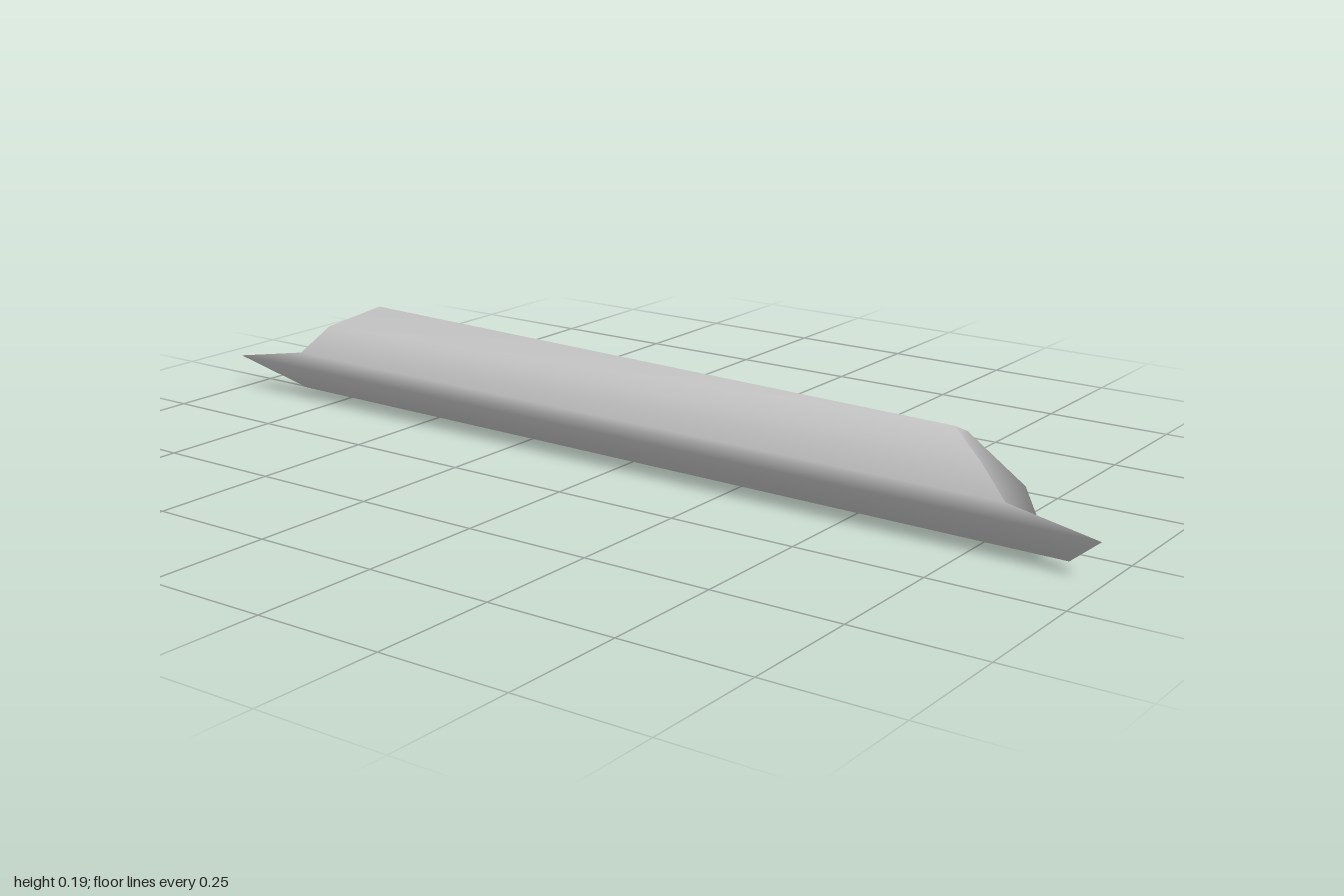
import * as THREE from 'three';

export function createModel() {
  const group = new THREE.Group();
  group.name = 'brokenLog';
  const grey = new THREE.MeshStandardMaterial({ color: 0xc4c4c4 });
  grey.name = 'weathered grey';

  // Splintered rims [x, y, z], running top, back, bottom, front
  const leftRim = [
    [0.67, 0.186, 0.01], [0.66, 0.158, -0.06], [0.77, 0.075, -0.071],
    [0.85, 0.003, 0.0], [0.85, 0.004, 0.04], [0.92, 0.012, 0.07],
    [0.995, 0.075, 0.118], [0.82, 0.105, 0.11], [0.76, 0.158, 0.085],
  ];
  const rightRim = [
    [-0.71, 0.194, -0.045], [-0.72, 0.16, -0.108], [-0.86, 0.05, -0.12],
    [-0.92, 0.002, -0.07], [-0.86, 0.001, -0.035], [-0.88, 0.003, 0.01],
    [-1.0, 0.07, 0.08], [-0.83, 0.1, 0.07], [-0.77, 0.16, 0.045],
  ];
  const n = leftRim.length;

  // Sunken middles of the two broken ends
  const leftMiddle = [0.74, 0.085, 0.035];
  const rightMiddle = [-0.78, 0.085, -0.01];

  // Long sides and fanned ends share vertices so the shading runs smoothly over the rims
  const positions = [...rightRim, ...leftRim, rightMiddle, leftMiddle].flat();
  const index = [];
  for (let i = 0; i < n; i++) {
    const j = (i + 1) % n;
    index.push(i, n + i, n + j, i, n + j, j);
    index.push(2 * n, i, j, 2 * n + 1, n + j, n + i);
  }
  const geometry = new THREE.BufferGeometry();
  geometry.setAttribute('position', new THREE.Float32BufferAttribute(positions, 3));
  geometry.setIndex(index);
  geometry.computeVertexNormals();

  const log = new THREE.Mesh(geometry, grey);
  log.name = 'splinteredTrunk';
  group.add(log);
  return group;
}
